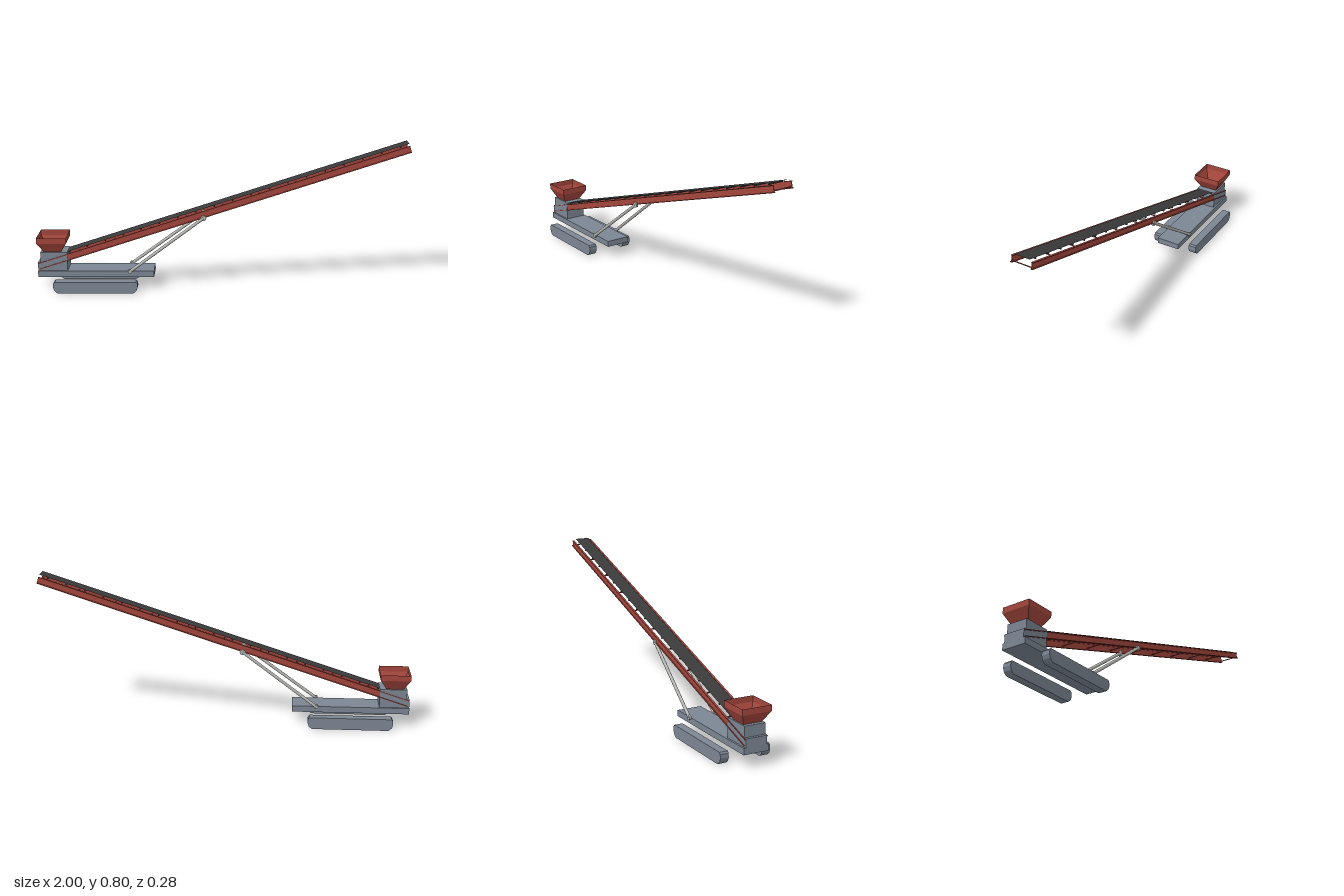
import * as THREE from 'three';

export function createModel() {
  const root = new THREE.Group();
  root.name = 'trackedConveyor';
  const mat = (name, color, side = THREE.FrontSide) => {
    const m = new THREE.MeshStandardMaterial({ color, side });
    m.name = name;
    return m;
  };
  const red = mat('red paint', 0xa3463c, THREE.DoubleSide);
  const grey = mat('blue grey steel', 0x7c8693);
  const rubber = mat('black rubber', 0x3a3b3a, THREE.DoubleSide);
  const silver = mat('silver', 0xb6b6b2);

  const add = (parent, name, geo, material, x = 0, y = 0, z = 0) => {
    const m = new THREE.Mesh(geo, material);
    m.name = name;
    m.position.set(x, y, z);
    parent.add(m);
    return m;
  };
  // Box given by its limits in x and y and its half width in z
  const block = (name, x0, x1, y0, y1, hz) =>
    add(root, name, new THREE.BoxGeometry(x1 - x0, y1 - y0, hz * 2), grey, (x0 + x1) / 2, (y0 + y1) / 2, 0);
  // Cylinder lying across the model
  const crossCylinder = (r, width, sides) => new THREE.CylinderGeometry(r, r, width, sides).rotateX(Math.PI / 2);

  // Chassis
  block('deck', -1, -0.37, 0.07, 0.103, 0.068);
  block('rearBlock', -1, -0.96, 0.1, 0.148, 0.058);
  block('housing', -0.985, -0.84, 0.1, 0.205, 0.058);

  // Crawler tracks: side outline with chamfered ends
  const half = [[0.218, 0.064], [0.226, 0.055], [0.228, 0.035], [0.221, 0.015], [0.207, 0.002], [0.2, 0]];
  const outline = [...half, ...half.slice().reverse().map(([x, y]) => [-x, y])];
  const trackGeo = new THREE.ExtrudeGeometry(
    new THREE.Shape(outline.map(([x, y]) => new THREE.Vector2(x, y))),
    { depth: 0.046, bevelEnabled: false });
  add(root, 'leftTrack', trackGeo, grey, -0.683, 0, 0.093);
  add(root, 'rightTrack', trackGeo, grey, -0.683, 0, -0.139);

  // Hopper: open sheet walls joining three rectangular rings
  const rings = [
    { y: 0.205, hx: 0.045, hz: 0.05 },
    { y: 0.262, hx: 0.08, hz: 0.08 },
    { y: 0.293, hx: 0.08, hz: 0.08 },
  ];
  const corner = (r, i) => {
    const [sx, sz] = [[1, 1], [1, -1], [-1, -1], [-1, 1]][i % 4];
    return [sx * r.hx, r.y, sz * r.hz];
  };
  const hopperPos = [];
  for (let k = 0; k < 2; k++) {
    for (let i = 0; i < 4; i++) {
      const a = corner(rings[k], i), b = corner(rings[k], i + 1);
      const c = corner(rings[k + 1], i + 1), d = corner(rings[k + 1], i);
      hopperPos.push(...a, ...b, ...c, ...a, ...c, ...d);
    }
  }
  const hopperGeo = new THREE.BufferGeometry();
  hopperGeo.setAttribute('position', new THREE.Float32BufferAttribute(hopperPos, 3));
  hopperGeo.computeVertexNormals();
  add(root, 'hopper', hopperGeo, red, -0.92, 0, 0);

  // Inclined boom: local x runs up the slope, local y = 0 is the rail top
  const boom = new THREE.Group();
  boom.name = 'boom';
  boom.position.set(-1, 0.144, 0);
  boom.rotation.z = Math.atan(0.327);
  root.add(boom);

  const length = 2.09, depth = 0.036, flange = 0.004;
  for (const s of [1, -1]) {
    const rail = new THREE.Group();
    rail.name = s > 0 ? 'leftRail' : 'rightRail';
    boom.add(rail);
    const flangeGeo = new THREE.BoxGeometry(length, flange, 0.011);
    add(rail, 'topFlange', flangeGeo, red, length / 2, -flange / 2, s * 0.0565);
    add(rail, 'bottomFlange', flangeGeo, red, length / 2, flange / 2 - depth, s * 0.0565);
    add(rail, 'web', new THREE.BoxGeometry(length, depth - 2 * flange, 0.003), red, length / 2, -depth / 2, s * 0.0555);
  }

  // Cross bars between the rails
  const barGeo = crossCylinder(0.003, 0.108, 8);
  for (let i = 0; i < 10; i++) add(boom, 'crossBar', barGeo, red, 2.085 - i * 0.2077, -0.027, 0);

  // Belt and the rollers under it
  add(boom, 'belt', new THREE.PlaneGeometry(1.95, 0.083).rotateX(-Math.PI / 2), rubber, 1.117, 0.009, 0);
  const rollerGeo = crossCylinder(0.0042, 0.084, 10);
  for (let i = 0; i < 19; i++) add(boom, 'roller', rollerGeo, rubber, 2.043 - i * 0.1035, 0.0045, 0);

  // Support struts with a pin at each end
  for (const s of [1, -1]) {
    const strut = new THREE.Group();
    strut.name = s > 0 ? 'leftStrut' : 'rightStrut';
    root.add(strut);
    const a = new THREE.Vector3(-0.5, 0.103, s * 0.073);
    const b = new THREE.Vector3(-0.1, 0.4, s * 0.058);
    const dir = b.clone().sub(a);
    const mid = a.clone().add(b).multiplyScalar(0.5);
    const tube = add(strut, 'strutTube', new THREE.CylinderGeometry(0.0085, 0.0085, dir.length(), 12), silver, mid.x, mid.y, mid.z);
    tube.quaternion.setFromUnitVectors(new THREE.Vector3(0, 1, 0), dir.normalize());
    add(strut, 'lowerPin', crossCylinder(0.012, 0.012, 12), silver, a.x, a.y, a.z);
    add(strut, 'upperPin', crossCylinder(0.015, 0.012, 12), silver, b.x, b.y, b.z);
  }
  return root;
}
